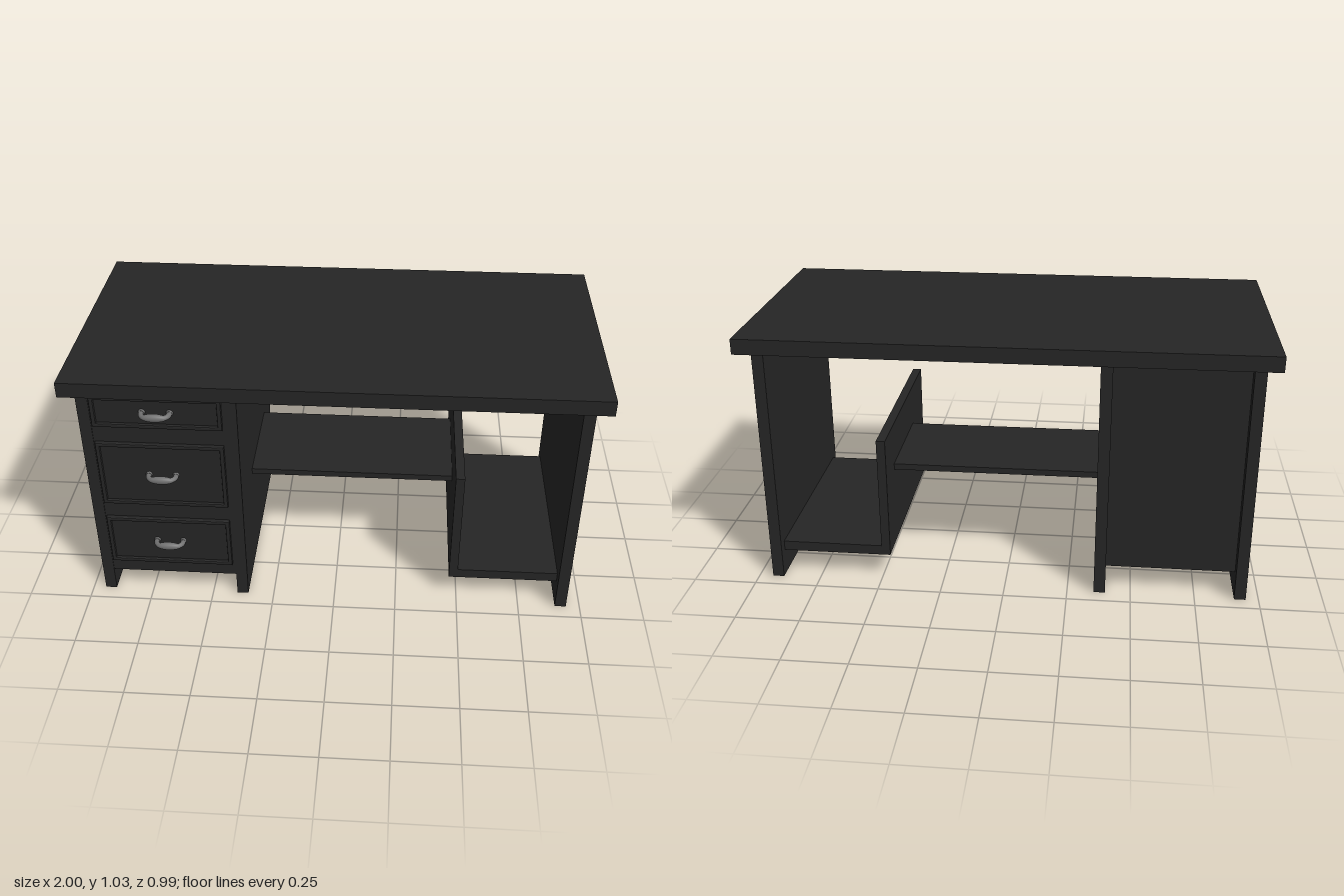
import * as THREE from 'three';

const wood = new THREE.MeshStandardMaterial({ color: 0x262626 });
const metal = new THREE.MeshStandardMaterial({ color: 0x707070 });

// Box given by its extents on each axis
function slab(parent, name, [x0, x1], [y0, y1], [z0, z1]) {
  const mesh = new THREE.Mesh(new THREE.BoxGeometry(x1 - x0, y1 - y0, z1 - z0), wood);
  mesh.position.set((x0 + x1) / 2, (y0 + y1) / 2, (z0 + z1) / 2);
  mesh.name = name;
  parent.add(mesh);
  return mesh;
}

// Raised rectangular moulding with softened edges
function moulding(w, h) {
  const t = 0.016, b = 0.004;
  const rect = (Type, a, c) => new Type().moveTo(-a, -c).lineTo(a, -c).lineTo(a, c).lineTo(-a, c).closePath();
  const shape = rect(THREE.Shape, w / 2 - b, h / 2 - b);
  shape.holes.push(rect(THREE.Path, w / 2 - t + b, h / 2 - t + b));
  const geo = new THREE.ExtrudeGeometry(shape, {
    depth: 0.012, bevelThickness: b, bevelSize: b, bevelSegments: 2,
  });
  const mesh = new THREE.Mesh(geo, wood);
  mesh.name = 'drawerMoulding';
  return mesh;
}

// Bow pull: two feet, a curved bar and a swollen grip
function handle() {
  const group = new THREE.Group();
  group.name = 'drawerHandle';
  const path = new THREE.CatmullRomCurve3([
    [-0.052, 0, 0], [-0.052, 0, 0.018], [-0.042, 0, 0.033], [0, 0, 0.04],
    [0.042, 0, 0.033], [0.052, 0, 0.018], [0.052, 0, 0],
  ].map(p => new THREE.Vector3(...p)));
  const bar = new THREE.Mesh(new THREE.TubeGeometry(path, 40, 0.01, 12), metal);
  bar.name = 'handleBar';
  const grip = new THREE.Mesh(new THREE.SphereGeometry(1, 20, 14), metal);
  grip.scale.set(0.05, 0.016, 0.015);
  grip.position.z = 0.038;
  grip.name = 'handleGrip';
  group.add(bar, grip);
  for (const s of [-1, 1]) {
    const foot = new THREE.Mesh(new THREE.CylinderGeometry(0.011, 0.013, 0.008, 16), metal);
    foot.rotation.x = Math.PI / 2;
    foot.position.set(s * 0.052, 0, 0.004);
    foot.name = 'handleFoot';
    group.add(foot);
  }
  return group;
}

export function createModel() {
  const desk = new THREE.Group();
  desk.name = 'desk';

  slab(desk, 'desktop', [-1, 1], [0.97, 1.03], [-0.493, 0.487]);

  // Full-height upright panels
  const uprights = {
    cabinetOuterPanel: [-0.95, -0.905],
    cabinetInnerPanel: [-0.4, -0.355],
    farSidePanel: [0.9, 0.945],
  };
  for (const [name, x] of Object.entries(uprights)) slab(desk, name, x, [0, 0.97], [-0.44, 0.44]);

  // Drawer cabinet, its back set in from the uprights
  const cabinet = new THREE.Group();
  cabinet.name = 'drawerCabinet';
  desk.add(cabinet);
  slab(cabinet, 'cabinetBody', [-0.905, -0.4], [0.1, 0.97], [-0.4, 0.437]);

  // Drawers: moulded frame around a flat field, with a pull
  for (const [y0, y1] of [[0.82, 0.955], [0.457, 0.745], [0.16, 0.385]]) {
    const drawer = new THREE.Group();
    drawer.name = 'drawer';
    drawer.position.set(-0.655, (y0 + y1) / 2, 0.437);
    const w = 0.488, h = y1 - y0;
    drawer.add(moulding(w, h));
    slab(drawer, 'drawerField', [-w / 2 + 0.01, w / 2 - 0.01], [-h / 2 + 0.01, h / 2 - 0.01], [-0.01, 0.004]);
    const pull = handle();
    pull.position.z = 0.004;
    drawer.add(pull);
    cabinet.add(drawer);
  }

  // Centre shelf between the cabinet and the divider
  slab(desk, 'centreShelf', [-0.355, 0.47], [0.41, 0.435], [-0.25, 0.165]);

  // Low open bay
  slab(desk, 'bayDivider', [0.465, 0.5], [0.1, 0.6], [-0.4, 0.4]);
  slab(desk, 'bayFloor', [0.5, 0.9], [0.1, 0.14], [-0.4, 0.4]);

  return desk;
}
